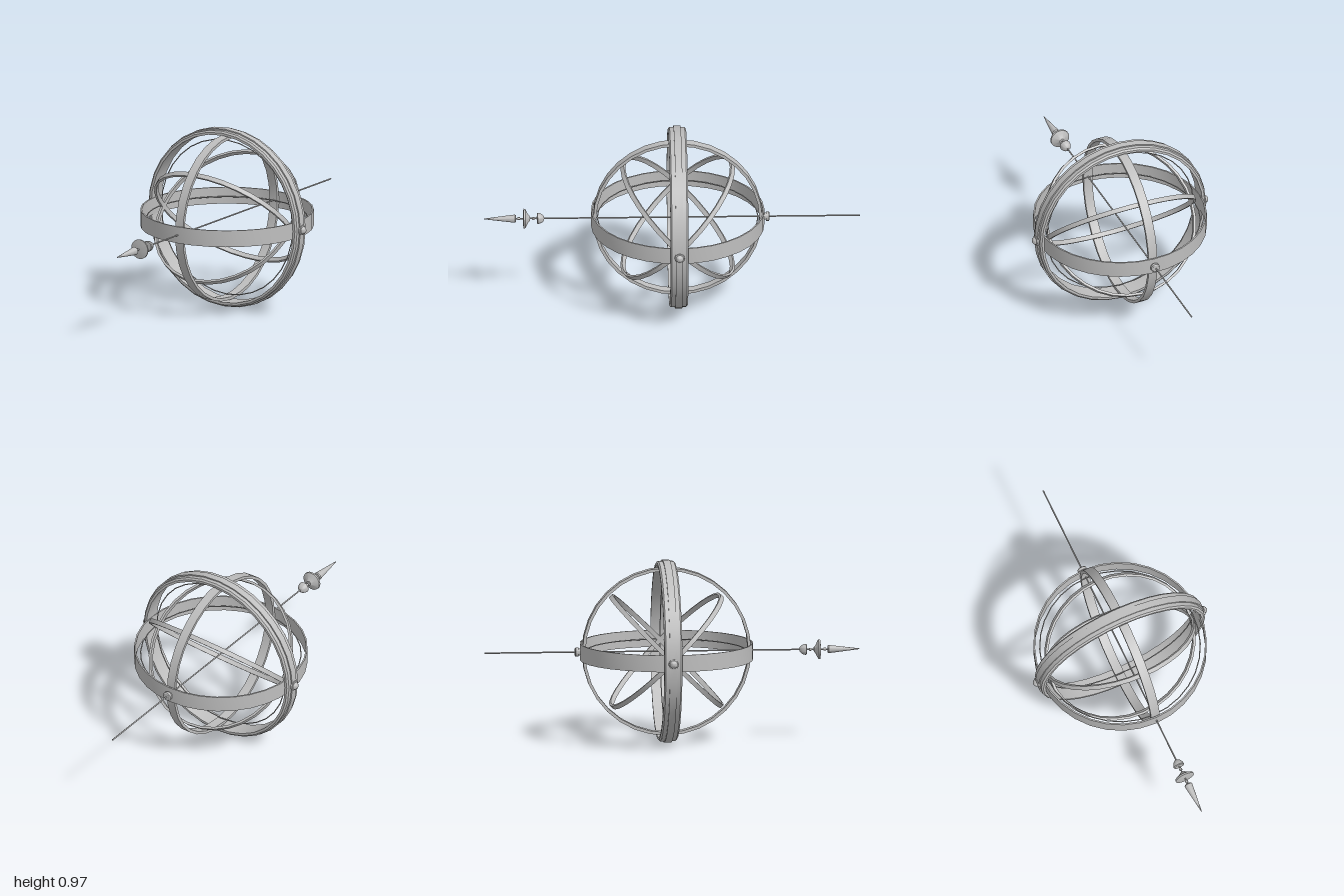
import * as THREE from 'three';
import { toCreasedNormals } from 'three/addons/utils/BufferGeometryUtils.js';

const CY = 0.487, CZ = -0.03;   // centre of the sphere of rings

export function createModel() {
  const model = new THREE.Group();
  model.name = 'armillarySphere';
  const metal = new THREE.MeshStandardMaterial({ color: 0xbebebe });
  metal.name = 'light grey metal';

  const add = (name, geo, x = 0, y = CY, z = CZ) => {
    const mesh = new THREE.Mesh(geo, metal);
    mesh.name = name;
    mesh.position.set(x, y, z);
    model.add(mesh);
  };
  // profile of [radius, height] pairs, upward on the outside
  const lathe = (pts, segs) => toCreasedNormals(
    new THREE.LatheGeometry(pts.map(p => new THREE.Vector2(...p)), segs), 0.6);
  // flat hoop around the y axis
  const band = (outer, inner, h) => lathe(
    [[outer, -h], [outer, h], [inner, h], [inner, -h], [outer, -h]], 32);

  // Heavy upright ring with bevelled edges and a raised ridge around its middle
  add('meridianRing', lathe([
    [0.471, -0.048], [0.48, -0.04], [0.48, -0.019], [0.487, -0.019], [0.487, 0.019],
    [0.48, 0.019], [0.48, 0.04], [0.471, 0.048], [0.458, 0.048], [0.458, -0.048],
    [0.471, -0.048],
  ], 32).rotateX(Math.PI / 2));

  // Wide level band and the upright band from front to back
  add('horizonBand', band(0.461, 0.453, 0.045));
  add('uprightBand', band(0.45, 0.434, 0.025).rotateZ(Math.PI / 2));

  // Two crossed sloping rings
  for (const s of [1, -1])
    add('slopingRing', band(0.418, 0.405, 0.0125).rotateX(s * Math.PI / 4));

  // Fine wire rings inside the bands
  add('uprightWire', new THREE.TorusGeometry(0.423, 0.003, 6, 32));
  add('levelWire', new THREE.TorusGeometry(0.427, 0.003, 6, 32).rotateX(Math.PI / 2));

  // Domed pivots at both sides and a flatter one at the back
  for (const s of [1, -1])
    add('sidePivot', lathe([
      [0, -0.014], [0.027, -0.014], [0.027, 0.004], [0.021, 0.006],
      [0.018, 0.014], [0.011, 0.02], [0, 0.023],
    ], 16).rotateZ(-s * Math.PI / 2), s * 0.485);
  add('backPivot', lathe([
    [0, -0.01], [0.018, -0.01], [0.018, 0.004], [0.025, 0.005],
    [0.025, 0.019], [0.02, 0.023], [0, 0.024],
  ], 16).rotateX(-Math.PI / 2), 0, CY, -0.495);

  // Long axis rod
  add('axisRod', new THREE.CylinderGeometry(0.004, 0.004, 1.85, 10)
    .rotateX(Math.PI / 2), 0, CY, -0.075);

  // Turned ornaments and pointed tip on the front of the rod
  const turned = (name, pts) => add(name, lathe(pts, 20).rotateX(Math.PI / 2), 0, CY, 0);
  turned('smallDome', [
    [0, 0.678], [0.012, 0.681], [0.022, 0.69], [0.028, 0.703], [0.03, 0.714],
    [0.026, 0.718], [0, 0.719],
  ]);
  turned('rearBead', [[0, 0.73], [0.008, 0.732], [0.008, 0.742], [0, 0.744]]);
  turned('largeDome', [
    [0, 0.755], [0.013, 0.756], [0.022, 0.765], [0.037, 0.772], [0.052, 0.78],
    [0.053, 0.789], [0.03, 0.792], [0, 0.793],
  ]);
  turned('frontBead', [[0, 0.806], [0.008, 0.808], [0.008, 0.82], [0, 0.822]]);
  turned('pointedTip', [[0, 0.828], [0.018, 0.829], [0.022, 0.835], [0.002, 0.999], [0, 1]]);

  return model;
}
